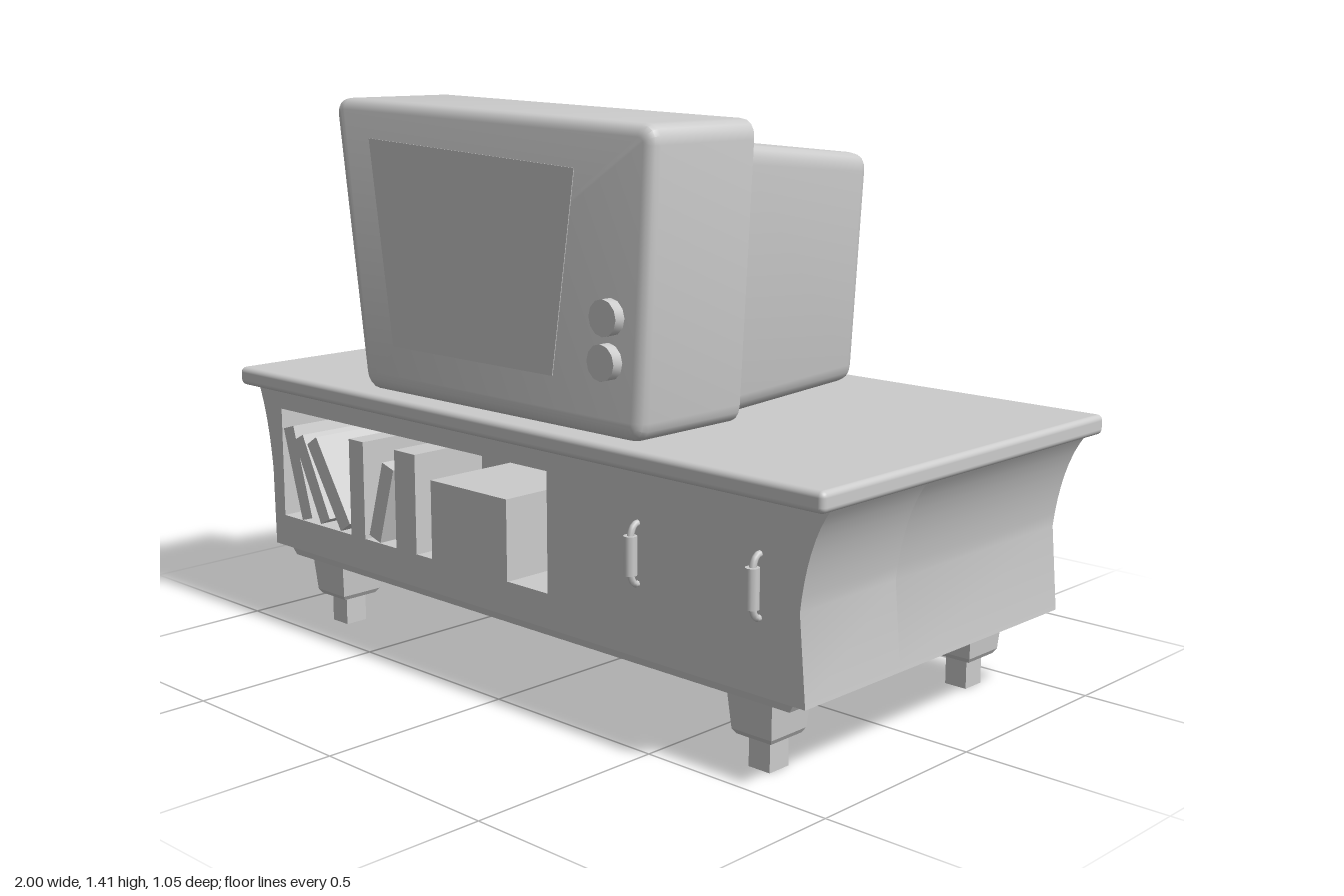
import * as THREE from 'three';
import { toCreasedNormals } from 'three/addons/utils/BufferGeometryUtils.js';
import { RoundedBoxGeometry } from 'three/addons/geometries/RoundedBoxGeometry.js';

const material = new THREE.MeshStandardMaterial({ color: 0xcccccc });

function add(parent, name, geometry, x = 0, y = 0, z = 0) {
  const mesh = new THREE.Mesh(geometry, material);
  mesh.name = name;
  mesh.position.set(x, y, z);
  parent.add(mesh);
  return mesh;
}

// Box whose lower end is narrower than its upper end
function taperedBox(w, h, d, scaleX, scaleZ = scaleX) {
  const geo = new THREE.BoxGeometry(w, h, d);
  const p = geo.attributes.position;
  for (let i = 0; i < p.count; i++) {
    if (p.getY(i) < 0) p.setXYZ(i, p.getX(i) * scaleX, p.getY(i), p.getZ(i) * scaleZ);
  }
  geo.computeVertexNormals();
  return geo;
}

// Counter-clockwise outline of a quad [bl, br, tr, tl] with rounded corners, moved in by d
function roundedQuad(corners, inset, radius, steps = 4) {
  const signs = [[1, 1], [-1, 1], [-1, -1], [1, -1]];
  const q = corners.map(([x, y], i) =>
    new THREE.Vector2(x + signs[i][0] * inset, y + signs[i][1] * inset));
  const points = [];
  q.forEach((c, i) => {
    const toward = (o) => o.clone().sub(c).setLength(radius).add(c);
    const curve = new THREE.QuadraticBezierCurve(toward(q[(i + 3) % 4]), c, toward(q[(i + 1) % 4]));
    points.push(...curve.getPoints(steps));
  });
  return points;
}

// Closed skin through rings ordered from front (+z) to back
function loft(rings) {
  const n = rings[0].points.length, pos = [], index = [];
  rings.forEach(({ points, z }) => points.forEach((p) => pos.push(p.x, p.y, z)));
  for (let r = 0; r < rings.length - 1; r++) {
    for (let i = 0; i < n; i++) {
      const a = r * n + i, b = r * n + (i + 1) % n;
      index.push(a, a + n, b, b, a + n, b + n);
    }
  }
  const last = (rings.length - 1) * n;
  for (let i = 1; i < n - 1; i++) {
    index.push(0, i, i + 1);
    index.push(last, last + i + 1, last + i);
  }
  const geo = new THREE.BufferGeometry();
  geo.setAttribute('position', new THREE.Float32BufferAttribute(pos, 3));
  geo.setIndex(index);
  return toCreasedNormals(geo, 0.6);
}

function createTelevision() {
  const tv = new THREE.Group();
  tv.name = 'television';
  const front = [[-0.515, 0.69], [0.452, 0.69], [0.492, 1.386], [-0.612, 1.414]];
  const neck = [[-0.475, 0.698], [0.41, 0.698], [0.447, 1.326], [-0.567, 1.352]];
  const back = [[-0.447, 0.706], [0.37, 0.706], [0.407, 1.282], [-0.527, 1.308]];
  const ring = (c, z, inset = 0) => ({ points: roundedQuad(c, inset, 0.045 - inset), z });

  // Lopsided shell: rounded front rim, step behind the front, tapering back
  const rings = [];
  const bevel = 0.028, steps = 3;
  for (let i = 0; i <= steps; i++) {
    const a = (i / steps) * Math.PI / 2;
    rings.push(ring(front, 0.48 - bevel * (1 - Math.cos(a)), bevel * (1 - Math.sin(a))));
  }
  rings.push(ring(front, 0.152), ring(neck, 0.118));
  for (let i = steps; i >= 0; i--) {
    const a = (i / steps) * Math.PI / 2;
    rings.push(ring(back, -0.38 + bevel * (1 - Math.cos(a)), bevel * (1 - Math.sin(a))));
  }
  add(tv, 'televisionShell', loft(rings));

  // Screen
  const screen = new THREE.Shape([[-0.394, 0.81], [0.178, 0.81], [0.253, 1.283], [-0.47, 1.318]]
    .map(([x, y]) => new THREE.Vector2(x, y)));
  add(tv, 'screen', new THREE.ExtrudeGeometry(screen, { depth: 0.003, bevelEnabled: false }), 0, 0, 0.479);

  // Knobs
  for (const [x, y] of [[0.365, 0.965], [0.358, 0.865]]) {
    const knob = new THREE.CylinderGeometry(0.042, 0.042, 0.035, 12);
    add(tv, 'knob', toCreasedNormals(knob, 0.6), x, y, 0.49).rotation.x = Math.PI / 2;
  }
  return tv;
}

// Cabinet outline with waisted sides
function cabinetShape() {
  const s = new THREE.Shape();
  s.moveTo(-0.928, 0.205);
  s.lineTo(0.923, 0.205);
  s.lineTo(0.905, 0.41);
  s.bezierCurveTo(0.915, 0.5, 0.94, 0.59, 0.985, 0.645);
  s.lineTo(-0.988, 0.645);
  s.bezierCurveTo(-0.96, 0.59, -0.94, 0.5, -0.932, 0.41);
  s.closePath();
  return s;
}

function createCabinet() {
  const cabinet = new THREE.Group();
  cabinet.name = 'cabinet';
  const shelfBack = 0.15, face = 0.476;

  // Solid rear and the front with the shelf opening
  const extrude = (shape, depth) => toCreasedNormals(
    new THREE.ExtrudeGeometry(shape, { depth, bevelEnabled: false, curveSegments: 8 }), 0.4);
  add(cabinet, 'cabinetRear', extrude(cabinetShape(), shelfBack + face), 0, 0, -face);
  const frontShape = cabinetShape();
  frontShape.holes.push(new THREE.Path([[-0.885, 0.29], [-0.885, 0.583], [0.15, 0.583], [0.15, 0.29]]
    .map(([x, y]) => new THREE.Vector2(x, y))));
  add(cabinet, 'cabinetFront', extrude(frontShape, face - shelfBack), 0, 0, shelfBack);

  // Top board and plinth
  add(cabinet, 'topBoard', new RoundedBoxGeometry(2, 0.048, 1.055, 3, 0.014), 0, 0.665, -0.002);
  add(cabinet, 'plinth', taperedBox(1.77, 0.03, 0.915, 0.98, 0.988), -0.005, 0.193, 0);

  // Legs
  for (const x of [-0.757, 0.735]) {
    for (const z of [0.367, -0.37]) {
      const leg = new THREE.Group();
      leg.name = 'leg';
      leg.position.set(x, 0, z);
      add(leg, 'legBlock', taperedBox(0.13, 0.1, 0.136, 0.87), 0, 0.138, 0);
      add(leg, 'legChamfer', taperedBox(0.113, 0.012, 0.118, 0.87), 0, 0.082, 0);
      add(leg, 'foot', new THREE.BoxGeometry(0.06, 0.08, 0.063), 0, 0.04, 0);
      cabinet.add(leg);
    }
  }

  // Door handles: a bent rod with a thicker grip
  const path = new THREE.CatmullRomCurve3([[-0.07, -0.012], [-0.067, 0.01], [-0.045, 0.022],
    [0.045, 0.022], [0.067, 0.01], [0.07, -0.012]].map(([y, z]) => new THREE.Vector3(0, y, z)));
  for (const x of [0.442, 0.796]) {
    const handle = new THREE.Group();
    handle.name = 'handle';
    handle.position.set(x, 0.445, face);
    add(handle, 'handleRod', new THREE.TubeGeometry(path, 20, 0.008, 8));
    add(handle, 'handleGrip', new THREE.CylinderGeometry(0.016, 0.016, 0.09, 10), 0, 0, 0.023);
    cabinet.add(handle);
  }
  return cabinet;
}

function createShelfItems() {
  const items = new THREE.Group();
  items.name = 'shelfItems';
  const depth = 0.22, z = 0.479 - depth / 2;
  // Books: centre x, centre y, thickness, height, lean
  const books = [
    [-0.816, 0.418, 0.045, 0.25, 0.29],
    [-0.755, 0.411, 0.043, 0.236, 0.47],
    [-0.683, 0.411, 0.047, 0.25, 0.57],
    [-0.561, 0.418, 0.058, 0.256, 0],
    [-0.462, 0.399, 0.046, 0.208, -0.29],
    [-0.365, 0.418, 0.08, 0.256, 0],
  ];
  for (const [x, y, w, h, lean] of books) {
    add(items, 'book', new THREE.BoxGeometry(w, h, depth), x, y, z).rotation.z = lean;
  }
  // Storage box
  add(items, 'storageBox', new THREE.BoxGeometry(0.277, 0.202, 0.27), -0.126, 0.391, 0.344);
  return items;
}

export function createModel() {
  const model = new THREE.Group();
  model.name = 'televisionOnCabinet';
  model.add(createCabinet(), createShelfItems(), createTelevision());
  return model;
}
